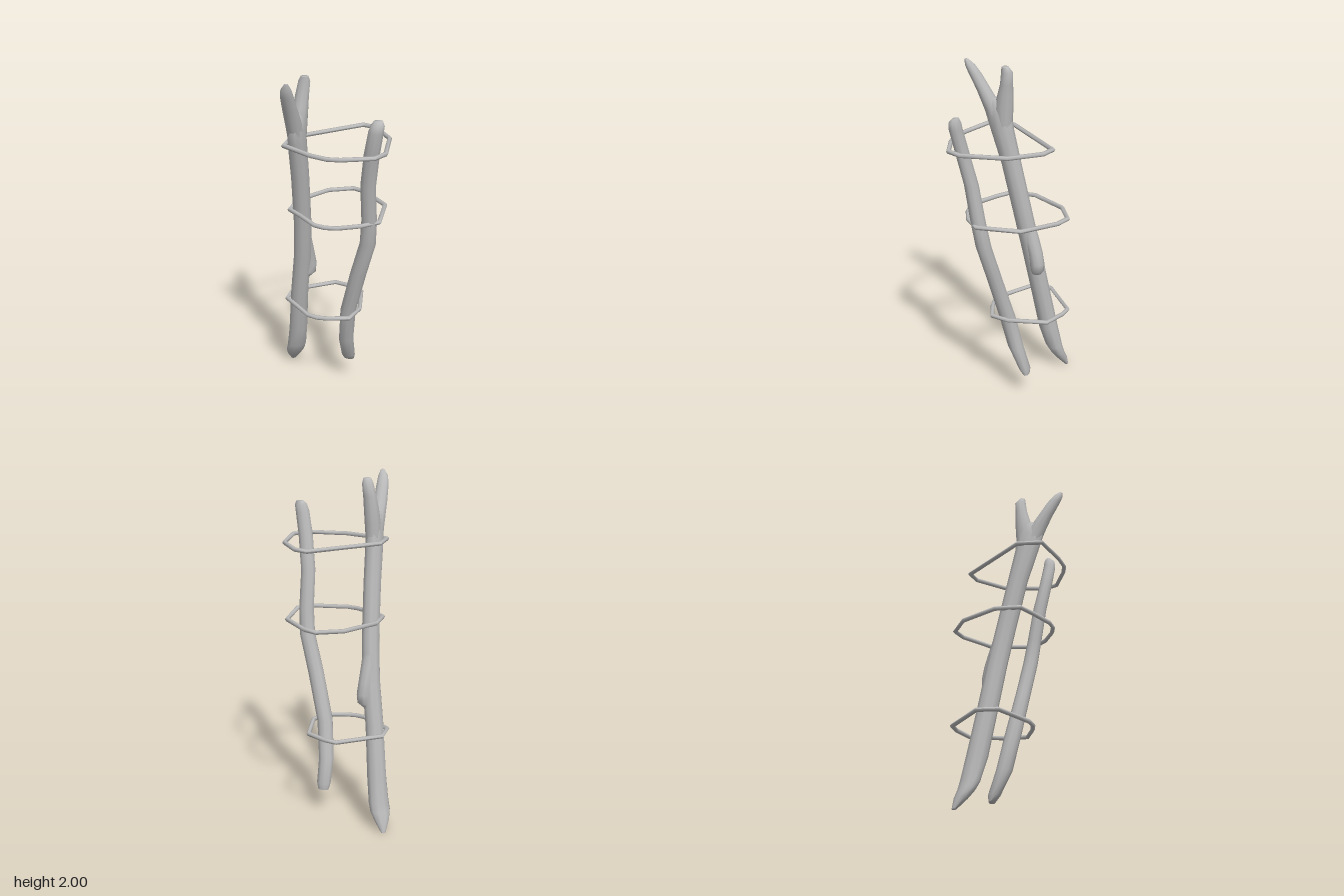
import * as THREE from 'three';
import { toCreasedNormals } from 'three/addons/utils/BufferGeometryUtils.js';

const V = (x, y, z) => new THREE.Vector3(x, y, z);

// Skins a row of equal-sized rings; either joins the ends or caps them
function skin(rings, closed) {
  const n = rings[0].length, m = rings.length;
  const pos = [], idx = [];
  rings.forEach(r => r.forEach(p => pos.push(p.x, p.y, p.z)));
  for (let j = 0; j < (closed ? m : m - 1); j++) {
    for (let i = 0; i < n; i++) {
      const k = (i + 1) % n, up = (j + 1) % m;
      const a = j * n + i, b = j * n + k, c = up * n + i, d = up * n + k;
      idx.push(a, c, b, b, c, d);
    }
  }
  if (!closed) {
    for (const j of [0, m - 1]) {
      const mid = rings[j].reduce((s, p) => s.add(p), V(0, 0, 0)).divideScalar(n);
      const c = pos.length / 3;
      pos.push(mid.x, mid.y, mid.z);
      for (let i = 0; i < n; i++) {
        const a = j * n + i, b = j * n + (i + 1) % n;
        if (j === 0) idx.push(c, a, b); else idx.push(c, b, a);
      }
    }
  }
  const g = new THREE.BufferGeometry();
  g.setAttribute('position', new THREE.Float32BufferAttribute(pos, 3));
  g.setIndex(idx);
  return toCreasedNormals(g, 1.2);
}

// Branch from level sections, bottom to top: [x, y, z, radiusX, radiusZ, turn]
function branch(sections, sides = 10) {
  return skin(sections.map(([x, y, z, rx, rz, turn = 0]) =>
    Array.from({ length: sides }, (_, i) => {
      const a = i / sides * Math.PI * 2 - turn;
      const u = rx * Math.cos(a), v = rz * Math.sin(a);
      const c = Math.cos(turn), s = Math.sin(turn);
      return V(x + u * c - v * s, y, z + u * s + v * c);
    })), false);
}

// Closed cord with mitred corners through [x, z] points, sagging at the front
function cord(y, points, r = 0.0125, sides = 6) {
  const front = Math.max(...points.map(p => p[1]));
  const pts = points.map(([x, z]) => V(x, y - (z > front - 0.06 ? 0.008 : 0), z));
  const n = pts.length;
  return skin(pts.map((p, j) => {
    const d1 = p.clone().sub(pts[(j + n - 1) % n]).setY(0).normalize();
    const d2 = pts[(j + 1) % n].clone().sub(p).setY(0).normalize();
    const t = d1.clone().add(d2).normalize();
    const side = V(-t.z, 0, t.x).divideScalar(t.dot(d1));
    return Array.from({ length: sides }, (_, i) => {
      const a = i / sides * Math.PI * 2;
      return p.clone().addScaledVector(side, r * Math.cos(a)).add(V(0, r * Math.sin(a), 0));
    });
  }), true);
}

export function createModel() {
  const model = new THREE.Group();
  const grey = new THREE.MeshStandardMaterial({ color: 0xbababa });
  grey.name = 'driftwood grey';
  const add = (name, geometry, parent = model) => {
    const mesh = new THREE.Mesh(geometry, grey);
    mesh.name = name;
    parent.add(mesh);
  };

  // Long forked pole with a chiselled foot
  const pole = new THREE.Group();
  pole.name = 'forkedPole';
  model.add(pole);
  const chisel = -Math.PI / 4;
  add('poleTrunk', branch([
    [-0.35, 0, -0.238, 0.014, 0.012, chisel],
    [-0.332, 0.06, -0.208, 0.044, 0.034, chisel],
    [-0.313, 0.11, -0.184, 0.061, 0.042, chisel],
    [-0.298, 0.16, -0.168, 0.061, 0.05, chisel],
    [-0.275, 0.3, -0.137, 0.057, 0.059],
    [-0.242, 0.6, -0.085, 0.053, 0.058],
    [-0.206, 0.85, -0.045, 0.053, 0.058],
    [-0.185, 1.1, 0.005, 0.051, 0.058],
    [-0.172, 1.4, 0.07, 0.051, 0.059],
    [-0.165, 1.6, 0.122, 0.05, 0.069],
    [-0.162, 1.7, 0.143, 0.047, 0.078],
    [-0.16, 1.77, 0.152, 0.036, 0.066],
    [-0.16, 1.79, 0.154, 0.016, 0.04],
  ]), pole);
  add('backProng', branch([
    [-0.163, 1.6, 0.11, 0.042, 0.045],
    [-0.158, 1.73, 0.112, 0.046, 0.056],
    [-0.152, 1.82, 0.098, 0.043, 0.045],
    [-0.146, 1.88, 0.09, 0.039, 0.036],
    [-0.136, 1.95, 0.083, 0.034, 0.033],
    [-0.13, 1.982, 0.092, 0.022, 0.02],
  ]), pole);
  add('frontProng', branch([
    [-0.165, 1.6, 0.13, 0.042, 0.05],
    [-0.163, 1.73, 0.178, 0.045, 0.054],
    [-0.163, 1.83, 0.233, 0.041, 0.042],
    [-0.16, 1.92, 0.284, 0.036, 0.037],
    [-0.155, 1.965, 0.31, 0.029, 0.029],
    [-0.146, 2, 0.328, 0.01, 0.011],
  ]), pole);
  add('knot', branch([
    [-0.2, 0.7, -0.08, 0.028, 0.028],
    [-0.182, 0.73, -0.09, 0.042, 0.041],
    [-0.178, 0.78, -0.091, 0.042, 0.043],
    [-0.184, 0.85, -0.075, 0.042, 0.045],
    [-0.19, 0.93, -0.048, 0.044, 0.048],
    [-0.195, 1.04, -0.014, 0.044, 0.046],
  ]), pole);

  // Shorter curved pole
  add('curvedPole', branch([
    [0.065, 0.152, -0.112, 0.032, 0.018],
    [0.065, 0.19, -0.1, 0.043, 0.034],
    [0.068, 0.33, -0.045, 0.045, 0.047],
    [0.093, 0.55, 0.002, 0.047, 0.048],
    [0.168, 0.83, 0.052, 0.048, 0.044],
    [0.233, 1.05, 0.088, 0.047, 0.044],
    [0.246, 1.2, 0.112, 0.045, 0.042],
    [0.247, 1.42, 0.148, 0.044, 0.04],
    [0.276, 1.62, 0.187, 0.044, 0.038],
    [0.302, 1.75, 0.208, 0.042, 0.037],
    [0.311, 1.79, 0.208, 0.038, 0.033],
    [0.314, 1.813, 0.202, 0.024, 0.018],
  ]));

  // Cord rungs looped around both poles
  add('lowerCord', cord(0.555, [
    [-0.305, -0.14], [-0.09, -0.313], [-0.018, -0.302], [0.1, -0.248], [0.155, -0.03],
    [0.125, 0.082], [0.01, 0.125], [-0.055, 0.135], [-0.115, 0.122], [-0.3, -0.022],
  ]));
  add('middleCord', cord(1.195, [
    [-0.235, -0.055], [-0.115, -0.258], [0.018, -0.332], [0.1, -0.3], [0.265, -0.145],
    [0.3, 0.1], [0.22, 0.182], [0.1, 0.235], [0.035, 0.248], [-0.03, 0.235],
    [-0.14, 0.155], [-0.23, 0.09],
  ]));
  add('upperCord', cord(1.623, [
    [-0.215, 0.07], [0.095, -0.262], [0.175, -0.235], [0.3, -0.08], [0.346, 0.168],
    [0.31, 0.25], [0.14, 0.309], [0.07, 0.32], [-0.03, 0.295], [-0.21, 0.216],
  ]));
  return model;
}
